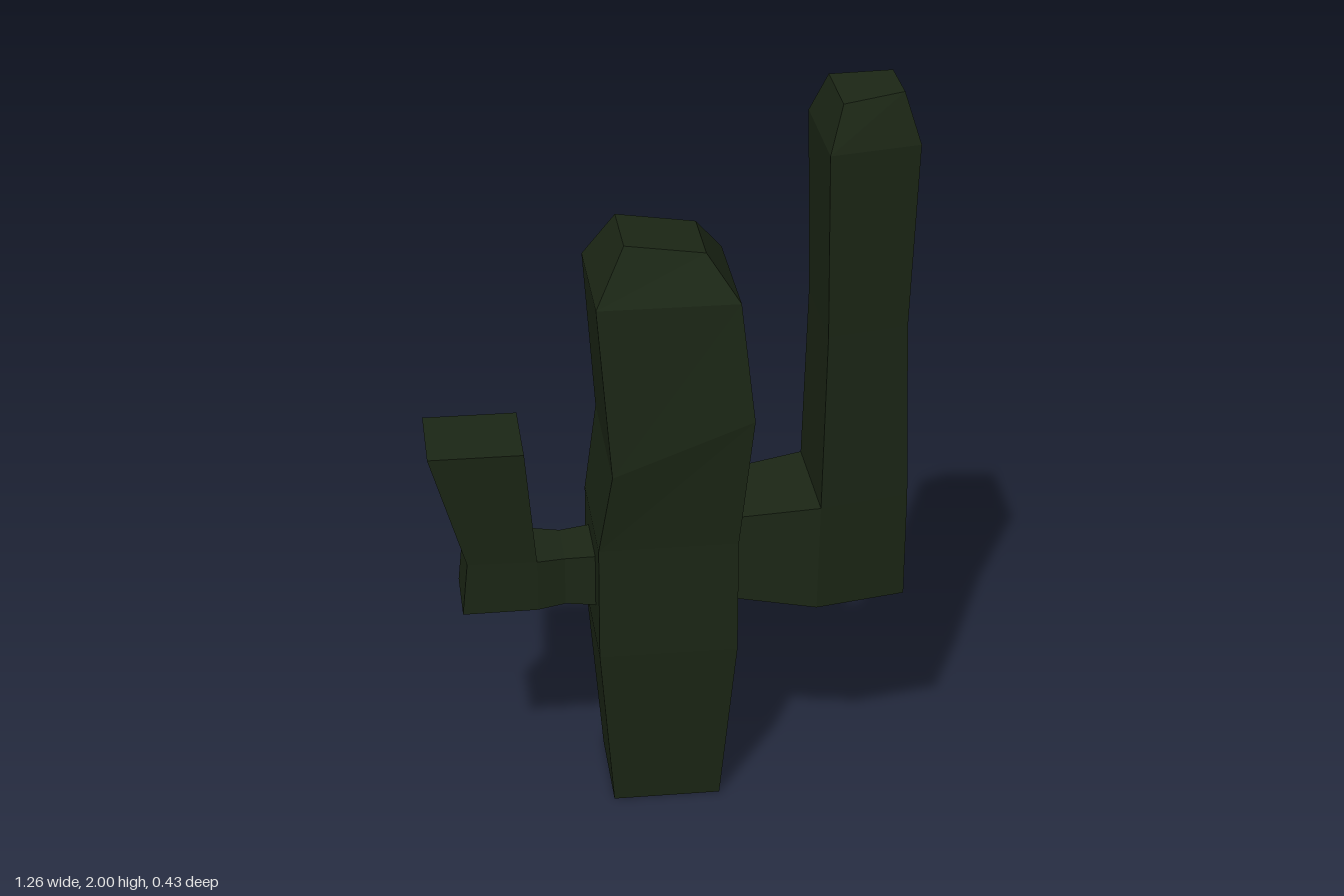
import * as THREE from 'three';

const material = new THREE.MeshStandardMaterial({ color: 0x1b2615, flatShading: true, roughness: 0.9 });

// Each section is two edges [x, y, halfDepth], mirrored in z to make a four-cornered ring.
function limb(name, sections) {
  const rings = sections.map(([p, q]) => [
    new THREE.Vector3(p[0], p[1], p[2]),
    new THREE.Vector3(q[0], q[1], q[2]),
    new THREE.Vector3(q[0], q[1], -q[2]),
    new THREE.Vector3(p[0], p[1], -p[2]),
  ]);
  const positions = [];
  const triangle = (a, b, c) => {
    // A bend can collapse one side of a ring pair, so skip empty triangles.
    if (new THREE.Triangle(a, b, c).getArea() < 1e-6) return;
    for (const v of [a, b, c]) positions.push(v.x, v.y, v.z);
  };
  const quad = (a, b, c, d) => {
    triangle(a, b, c);
    triangle(a, c, d);
  };
  for (let i = 0; i < rings.length - 1; i++) {
    const lower = rings[i], upper = rings[i + 1];
    for (let k = 0; k < 4; k++) {
      const n = (k + 1) % 4;
      quad(lower[k], lower[n], upper[n], upper[k]);
    }
  }
  quad(...rings[0].slice().reverse());
  quad(...rings[rings.length - 1]);

  const geometry = new THREE.BufferGeometry();
  geometry.setAttribute('position', new THREE.Float32BufferAttribute(positions, 3));
  geometry.computeVertexNormals();
  const mesh = new THREE.Mesh(geometry, material);
  mesh.name = name;
  return mesh;
}

export function createModel() {
  const cactus = new THREE.Group();
  cactus.name = 'cactus';

  // Trunk: tapered foot, slanted bulge, bevelled top
  cactus.add(limb('trunk', [
    [[-0.16, 0, 0.145], [0.13, 0, 0.145]],
    [[-0.2, 0.48, 0.185], [0.17, 0.48, 0.185]],
    [[-0.2, 0.8, 0.185], [0.17, 0.8, 0.185]],
    [[-0.165, 1.03, 0.215], [0.205, 1.17, 0.215]],
    [[-0.2, 1.49, 0.185], [0.17, 1.49, 0.185]],
    [[-0.12, 1.63, 0.105], [0.09, 1.6, 0.105]],
  ]));

  // Tall arm: runs out sideways, turns at a mitre, then rises
  cactus.add(limb('tallArm', [
    [[0.15, 0.85, 0.135], [0.15, 0.61, 0.135]],
    [[0.39, 0.88, 0.165], [0.385, 0.58, 0.165]],
    [[0.39, 0.88, 0.165], [0.63, 0.58, 0.115]],
    [[0.39, 0.88, 0.165], [0.63, 0.88, 0.115]],
    [[0.4, 1.37, 0.152], [0.615, 1.37, 0.107]],
    [[0.39, 1.87, 0.165], [0.63, 1.87, 0.115]],
    [[0.43, 1.985, 0.11], [0.59, 2.0, 0.08]],
  ]));

  // Short arm: pinched neck, turned up into a flared flat end
  cactus.add(limb('shortArm', [
    [[-0.18, 0.585, 0.092], [-0.18, 0.735, 0.092]],
    [[-0.28, 0.59, 0.08], [-0.28, 0.727, 0.08]],
    [[-0.355, 0.585, 0.095], [-0.355, 0.73, 0.095]],
    [[-0.555, 0.585, 0.097], [-0.355, 0.73, 0.095]],
    [[-0.54, 0.735, 0.097], [-0.355, 0.73, 0.095]],
    [[-0.635, 1.065, 0.125], [-0.385, 1.065, 0.125]],
  ]));

  return cactus;
}
